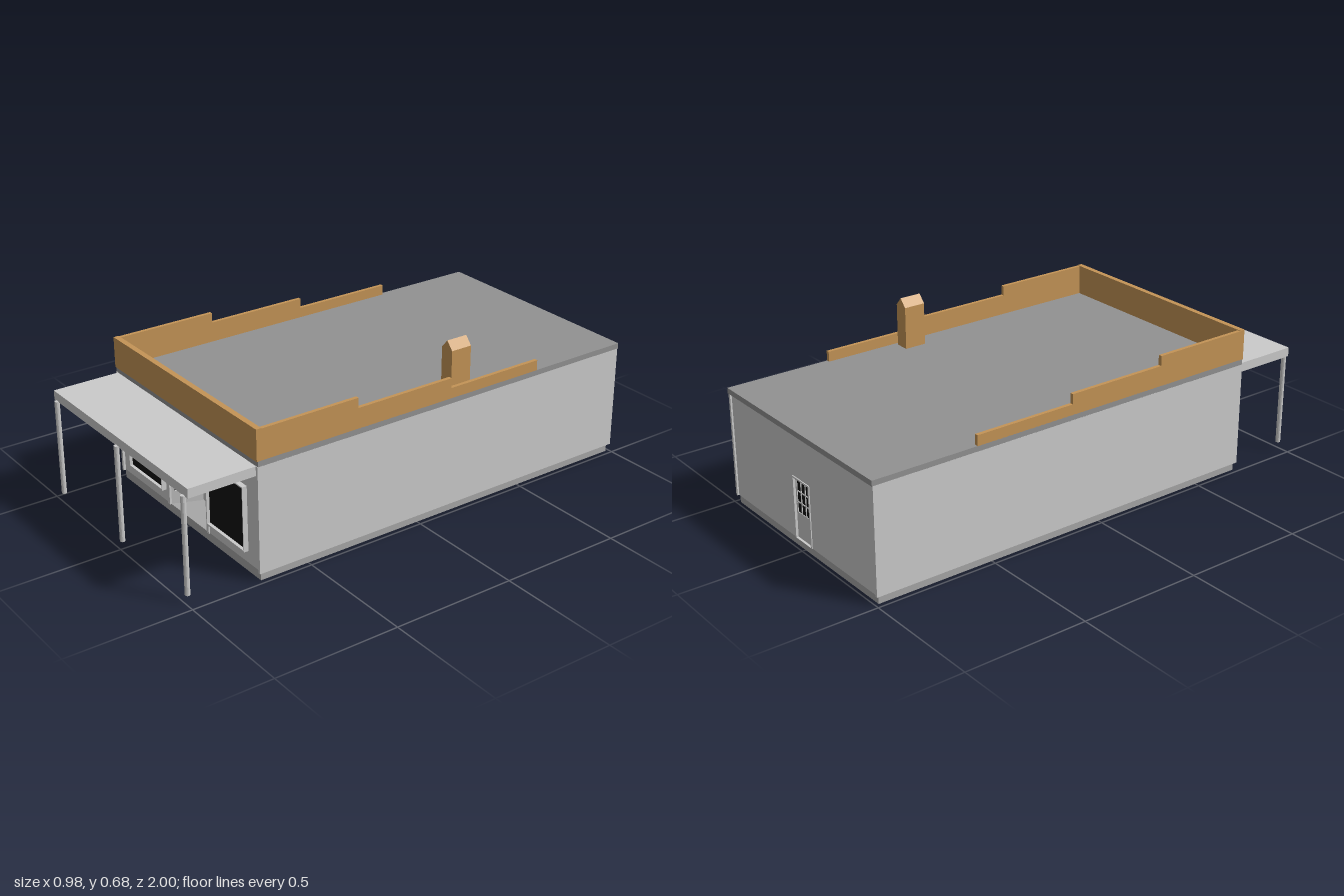
import * as THREE from 'three';

const material = (color) => new THREE.MeshStandardMaterial({ color, flatShading: true });
const GREY = material(0xcccccc);
const BASE = material(0xa7a7a7);
const ROOF = material(0x929292);
const TAN = material(0xc49456);
const GLASS = material(0x111111);

// Box given by its lower and upper limits on each axis
function box(parent, name, [x0, x1], [y0, y1], [z0, z1], mat = GREY) {
  const mesh = new THREE.Mesh(new THREE.BoxGeometry(x1 - x0, y1 - y0, z1 - z0), mat);
  mesh.position.set((x0 + x1) / 2, (y0 + y1) / 2, (z0 + z1) / 2);
  mesh.name = name;
  parent.add(mesh);
  return mesh;
}

// Rectangle outline, as a Shape or as a hole Path
function rect(Type, x0, x1, y0, y1) {
  const p = new Type();
  p.moveTo(x0, y0);
  p.lineTo(x1, y0);
  p.lineTo(x1, y1);
  p.lineTo(x0, y1);
  p.closePath();
  return p;
}

// Upright panel with rectangular openings, lying between z0 and z0 + depth
function panel(parent, name, outline, holes, z0, depth, mat = GREY) {
  const shape = rect(THREE.Shape, ...outline);
  holes.forEach((h) => shape.holes.push(rect(THREE.Path, ...h)));
  const mesh = new THREE.Mesh(new THREE.ExtrudeGeometry(shape, { depth, bevelEnabled: false }), mat);
  mesh.position.z = z0;
  mesh.name = name;
  parent.add(mesh);
  return mesh;
}

// Openings for a grid of panes separated by narrow bars
function paneGrid(x0, x1, y0, y1, cols, rows, bar) {
  const holes = [];
  const w = (x1 - x0 + bar) / cols;
  const h = (y1 - y0 + bar) / rows;
  for (let c = 0; c < cols; c++) {
    for (let r = 0; r < rows; r++) {
      holes.push([x0 + c * w, x0 + (c + 1) * w - bar, y0 + r * h, y0 + (r + 1) * h - bar]);
    }
  }
  return holes;
}

export function createModel() {
  const model = new THREE.Group();
  model.name = 'shop';

  // Foundation and walls
  box(model, 'foundation', [-0.48, 0.48], [0, 0.035], [-0.985, 0.705], BASE);
  for (const s of [-1, 1]) {
    const x = s < 0 ? [-0.49, -0.479] : [0.479, 0.49];
    box(model, 'sideWall', x, [0.033, 0.458], [-0.997, 0.715]);
  }
  panel(model, 'frontWall', [-0.48, 0.48, 0.033, 0.458], [[-0.132, 0.132, 0.034, 0.328]], 0.69, 0.015);
  panel(model, 'backWall', [-0.48, 0.48, 0.033, 0.458], [[-0.055, 0.05, 0.034, 0.28]], -0.99, 0.015);

  // Flat roof
  box(model, 'roof', [-0.49, 0.49], [0.457, 0.479], [-1, 0.713], ROOF);

  // Parapet: tall at the front, stepping down along both sides
  box(model, 'frontParapet', [-0.49, 0.49], [0.478, 0.602], [0.695, 0.717], TAN);
  const steps = new THREE.Shape();
  [[0.7, 0.478], [0.7, 0.6], [0.285, 0.6], [0.285, 0.56], [-0.14, 0.56], [-0.14, 0.52], [-0.565, 0.52], [-0.565, 0.478]]
    .forEach(([z, y], i) => (i ? steps.lineTo(-z, y) : steps.moveTo(-z, y)));
  const stepGeometry = new THREE.ExtrudeGeometry(steps, { depth: 0.015, bevelEnabled: false });
  stepGeometry.rotateY(Math.PI / 2);
  for (const x of [-0.49, 0.475]) {
    const side = new THREE.Mesh(stepGeometry, TAN);
    side.position.x = x;
    side.name = 'sideParapet';
    model.add(side);
  }

  // Chimney with a gabled top
  const gable = new THREE.Shape();
  gable.moveTo(0.401, 0.47);
  gable.lineTo(0.459, 0.47);
  gable.lineTo(0.459, 0.65);
  gable.lineTo(0.43, 0.683);
  gable.lineTo(0.401, 0.65);
  gable.closePath();
  const chimney = new THREE.Mesh(new THREE.ExtrudeGeometry(gable, { depth: 0.09, bevelEnabled: false }), TAN);
  chimney.position.z = -0.255;
  chimney.name = 'chimney';
  model.add(chimney);

  // Porch canopy and posts
  box(model, 'canopy', [-0.479, 0.479], [0.42, 0.457], [0.705, 0.987]);
  for (const x of [-0.453, 0, 0.453]) {
    const post = new THREE.Mesh(new THREE.CylinderGeometry(0.01, 0.01, 0.39, 12), GREY);
    post.position.set(x, 0.228, 0.99);
    post.name = 'porchPost';
    model.add(post);
  }

  // Shop windows
  for (const x of [-0.286, 0.28]) {
    const shopWindow = new THREE.Group();
    shopWindow.name = 'shopWindow';
    shopWindow.position.x = x;
    panel(shopWindow, 'windowFrame', [-0.123, 0.123, 0.083, 0.345], [[-0.12, 0.12, 0.09, 0.34]], 0.7, 0.025);
    box(shopWindow, 'windowGlass', [-0.121, 0.121], [0.088, 0.342], [0.7, 0.712], GLASS);
    model.add(shopWindow);
  }

  // Recessed entrance: ceiling, trim, double door
  const entrance = new THREE.Group();
  entrance.name = 'entrance';
  model.add(entrance);
  box(entrance, 'entranceCeiling', [-0.145, 0.145], [0.328, 0.34], [0.56, 0.695]);
  for (const s of [-1, 1]) {
    const x = s < 0 ? [-0.145, -0.131] : [0.131, 0.145];
    box(entrance, 'entranceTrim', x, [0.034, 0.33], [0.69, 0.711]);
  }
  panel(entrance, 'doorSurround', [-0.085, 0.085, 0.034, 0.33], [[-0.069, 0.069, 0.035, 0.324]], 0.57, 0.02);
  for (const s of [-1, 1]) {
    const [a, b] = s < 0 ? [-0.07, -0.001] : [0.001, 0.07];
    const panes = paneGrid(a + 0.005, b - 0.005, 0.042, 0.319, 2, 5, 0.004);
    panel(entrance, 'doorLeaf', [a, b, 0.035, 0.325], panes, 0.572, 0.01);
  }
  box(entrance, 'doorGlass', [-0.069, 0.069], [0.036, 0.324], [0.568, 0.576], GLASS);

  // Splayed side walls of the entrance, each with a tall window
  const dx = 0.052;
  const dz = 0.125;
  const half = Math.hypot(dx, dz) / 2;
  for (const s of [-1, 1]) {
    const splay = new THREE.Group();
    splay.name = 'entranceSideWall';
    splay.position.set(s * 0.106, 0, 0.6425);
    splay.rotation.y = -s * Math.atan2(dz, dx);
    const openings = [[0.088, 0.267], [0.272, 0.325]].map(([y0, y1]) => {
      const a = -half + 0.014;
      const b = half - 0.03;
      return s < 0 ? [a, b, y0, y1] : [-b, -a, y0, y1];
    });
    panel(splay, 'sideWindowWall', [-half, half, 0.034, 0.33], openings, -0.01, 0.01);
    box(splay, 'sideWindowGlass', [-half + 0.004, half - 0.004], [0.08, 0.328], [-0.009, -0.005], GLASS);
    model.add(splay);
  }

  // Back door with a nine-pane window, set slightly into the wall
  const backDoor = new THREE.Group();
  backDoor.name = 'backDoor';
  const panes = paneGrid(-0.043, 0.04, 0.14, 0.268, 3, 3, 0.004);
  panel(backDoor, 'backDoorLeaf', [-0.055, 0.05, 0.034, 0.28], panes, -0.984, 0.009);
  box(backDoor, 'backDoorGlass', [-0.046, 0.043], [0.137, 0.271], [-0.981, -0.977], GLASS);
  panel(backDoor, 'backDoorFrame', [-0.06, 0.055, 0.034, 0.285], [[-0.053, 0.048, 0.035, 0.278]], -0.994, 0.012);
  model.add(backDoor);

  return model;
}
